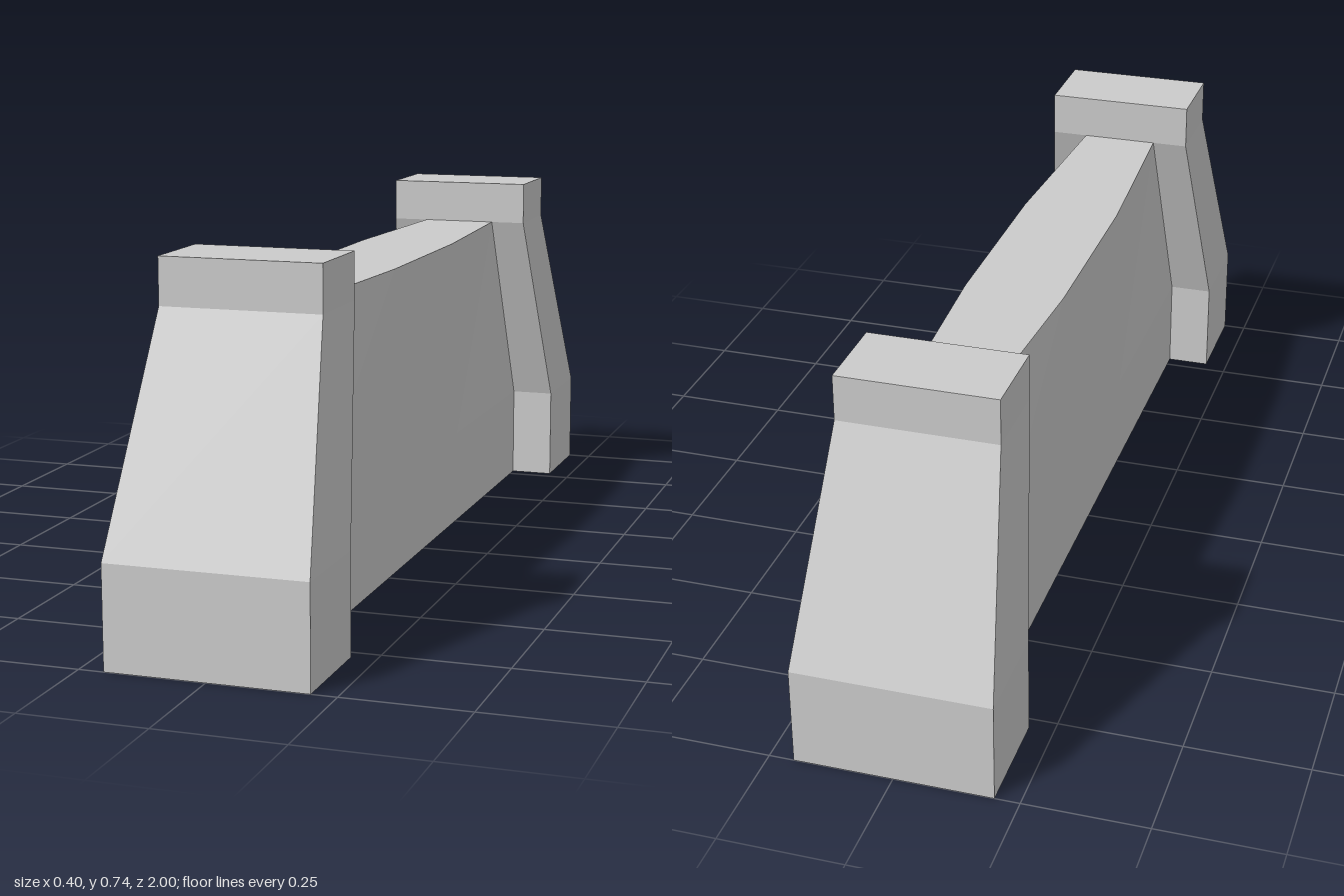
import * as THREE from 'three';

const material = new THREE.MeshStandardMaterial({ color: 0xcccccc, flatShading: true });

// Closed solid through stacked rings of [x, y, z], counter-clockwise from above
function loft(rings, name) {
  const pos = [];
  const tri = (a, b, c) => pos.push(...a, ...b, ...c);
  const n = rings[0].length;
  const middle = (ring) => [0, 1, 2].map((k) => ring.reduce((s, p) => s + p[k], 0) / n);
  const bottom = rings[0], top = rings[rings.length - 1];
  const low = middle(bottom), high = middle(top);
  for (let i = 0; i < n; i++) {
    const j = (i + 1) % n;
    for (let r = 0; r < rings.length - 1; r++) {
      const a = rings[r], b = rings[r + 1];
      tri(a[i], a[j], b[j]);
      tri(a[i], b[j], b[i]);
    }
    tri(low, bottom[j], bottom[i]);
    tri(high, top[i], top[j]);
  }
  const geometry = new THREE.BufferGeometry();
  geometry.setAttribute('position', new THREE.Float32BufferAttribute(pos, 3));
  geometry.computeVertexNormals();
  const mesh = new THREE.Mesh(geometry, material);
  mesh.name = name;
  return mesh;
}

export function createModel() {
  const model = new THREE.Group();
  model.name = 'barrierWall';

  // End pillars: [height, half width, inner z, outer z]
  const pillarLevels = [
    [0, 0.2, 0.778, 1],
    [0.205, 0.2, 0.778, 1],
    [0.647, 0.16, 0.634, 0.812],
    [0.74, 0.16, 0.634, 0.812],
  ];
  const pillarRings = pillarLevels.map(([y, w, inner, outer]) => [
    [w, y, outer], [w, y, inner], [-w, y, inner], [-w, y, outer],
  ]);
  ['frontPillar', 'backPillar'].forEach((name, i) => {
    const pillar = loft(pillarRings, name);
    pillar.rotation.y = i * Math.PI;
    model.add(pillar);
  });

  // Wall: [height, half length, half width at the ends]; full width in the middle third
  const wallLevels = [
    [0, 0.778, 0.105],
    [0.205, 0.778, 0.105],
    [0.647, 0.634, 0.082],
  ];
  const wallRings = wallLevels.map(([y, length, endWidth]) => {
    const side = [1, 1 / 3, -1 / 3, -1].map((t) => [Math.abs(t) === 1 ? endWidth : 0.105, y, t * length]);
    return [...side, ...side.map(([x, h, z]) => [-x, h, -z])];
  });
  model.add(loft(wallRings, 'wall'));

  return model;
}
